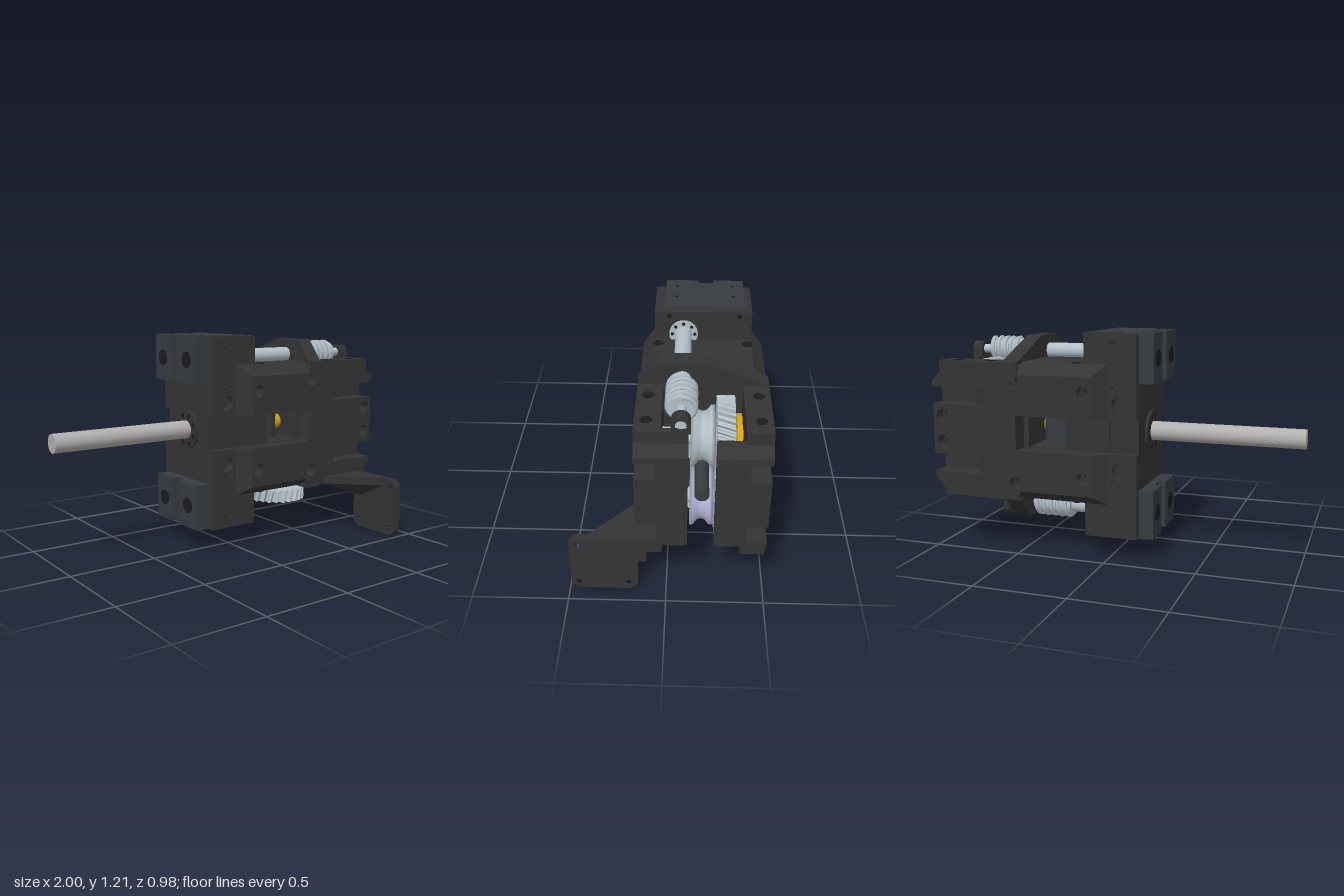
import * as THREE from 'three';
import { ConvexGeometry } from 'three/addons/geometries/ConvexGeometry.js';

const MID = -0.1725; // z of the drive axis and mirror plane
const mat = (color) => new THREE.MeshStandardMaterial({ color });
const V = (x, y, z) => new THREE.Vector3(x, y, z);

export function createModel() {
  const root = new THREE.Group();
  const dark = mat(0x343434), black = mat(0x1c1c1c), slate = mat(0x373c41);
  const steel = mat(0xb4c0c8), rodMat = mat(0xb2b0ae), lilac = mat(0xb4b4d6), gold = mat(0xd9a010);

  const add = (name, geo, m, x = 0, y = 0, z = 0) => {
    const mesh = new THREE.Mesh(geo, m);
    mesh.name = name;
    mesh.position.set(x, y, z);
    root.add(mesh);
    return mesh;
  };
  const box = (name, x0, x1, y0, y1, z0, z1, m = dark) =>
    add(name, new THREE.BoxGeometry(x1 - x0, y1 - y0, z1 - z0), m, (x0 + x1) / 2, (y0 + y1) / 2, (z0 + z1) / 2);
  const shape = (pts, holes = []) => {
    const s = new THREE.Shape(pts.map(([x, y]) => new THREE.Vector2(x, y)));
    for (const [x, y, r] of holes) s.holes.push(new THREE.Path().absarc(x, y, r, 0, Math.PI * 2, true));
    return s;
  };
  const extrude = (s, depth, steps = 1) =>
    new THREE.ExtrudeGeometry(s, { depth, steps, bevelEnabled: false, curveSegments: 10 });
  // slab in the xy plane between two z values
  const slabZ = (name, s, z0, z1) => add(name, extrude(s, z1 - z0), dark, 0, 0, z0);
  // the same slab on the front and on the back
  const slabPair = (name, s, z0, z1) => {
    slabZ(name, s, z0, z1);
    slabZ(name, s, 2 * MID - z1, 2 * MID - z0);
  };
  // slab from a [z, y] profile between two x values
  const slabX = (name, pts, x0, x1, holes = []) => {
    const s = shape(pts.map(([z, y]) => [-z, y]), holes.map(([z, y, r]) => [-z, y, r]));
    return add(name, extrude(s, x1 - x0).rotateY(Math.PI / 2), dark, x0);
  };
  const cyl = (name, axis, r, len, m, x, y, z, sides = 28) => {
    const g = new THREE.CylinderGeometry(r, r, len, sides);
    if (axis === 'x') g.rotateZ(Math.PI / 2);
    if (axis === 'z') g.rotateX(Math.PI / 2);
    return add(name, g, m, x, y, z);
  };

  // ---- housing: layered slabs with bolt holes, window, channel and pockets
  const bolts = [[0.115, 0.9], [0.115, 0.445], [0.51, 0.945], [0.51, 0.395], [0.945, 0.745], [0.945, 0.6]];
  const holes = (r, from = 0) => bolts.slice(from).map(([x, y]) => [x, y, r]);
  const rect = (x0, x1, y0, y1) => [[x0, y0], [x1, y0], [x1, y1], [x0, y1]];
  const cutWindow = (s) => {
    s.holes.push(new THREE.Path(rect(0.25, 0.47, 0.58, 0.76).reverse().map(([x, y]) => new THREE.Vector2(x, y))));
    return s;
  };
  const bottom = [[0, 0.3], [0.48, 0.3], [0.5, 0.3], [0.95, 0.3], [0.95, 0.35], [1, 0.4]];
  const top = [[1, 0.94], [0.95, 0.985], [0.95, 1.05], [0.5, 1.05], [0.48, 1.05], [0, 1.05]];
  const notches = [[1, 0.43], [0.69, 0.43], [0.69, 0.53], [1, 0.53], [1, 0.81], [0.69, 0.81], [0.69, 0.905], [1, 0.905]];
  const channel = [[0, 0.765], [0.5, 0.765], [0.5, 0.575], [0, 0.575]];
  slabZ('housingCore', cutWindow(shape(rect(0, 0.57, 0.3, 1.05), holes(0.022).slice(0, 4))), -0.365, 0.02);
  slabPair('housingWall', cutWindow(shape([...bottom, ...top], holes(0.022))), 0.02, 0.045);
  const notched = [...bottom, ...notches, ...top, ...channel];
  slabPair('housingPocketLayer', shape(notched, holes(0.022)), 0.045, 0.08);
  // cover layer, chamfered along its left, upper and lower edges
  for (const front of [true, false]) {
    const g = extrude(shape(notched, holes(0.035)), 0.065);
    const p = g.attributes.position;
    for (let i = 0; i < p.count; i++) {
      const x = p.getX(i), y = p.getY(i);
      if ((p.getZ(i) > 0.03) !== front) continue;
      if (x < 0.001) p.setX(i, 0.07);
      if (x < 0.49 && y > 1.049) p.setY(i, 0.985);
      if (x < 0.49 && y < 0.301) p.setY(i, 0.35);
    }
    g.computeVertexNormals();
    add('housingCover', g, dark, 0, 0, front ? 0.08 : 2 * MID - 0.145);
  }
  // end plates either side of the slot
  slabZ('endPlate', shape([[0.92, 0.35], [0.95, 0.35], [1, 0.4], [1, 0.94], [0.95, 0.985], [0.95, 1.05], [0.92, 1.05]], holes(0.018, 4)), -0.105, 0.02);
  slabZ('endPlate', shape([[0.92, 0.35], [0.95, 0.35], [1, 0.4], [1, 0.94], [0.95, 0.985], [0.92, 0.985]], holes(0.018, 4)), -0.365, -0.235);
  // sloped ends of the pockets
  for (const [y0, y1] of [[0.43, 0.53], [0.81, 0.905]])
    for (const s of [1, -1]) {
      const pts = [];
      for (const y of [y0, y1])
        for (const [x, d] of [[0.69, 0.3175], [0.69, 0.2175], [0.79, 0.2175]]) pts.push(V(x, y, MID + s * d));
      add('pocketRamp', new ConvexGeometry(pts), dark);
    }
  // hex recesses on the upper and lower faces
  for (const x of [0.18, 0.66, 0.86])
    for (const z of [x < 0.5 ? 0.06 : 0.09, x < 0.5 ? -0.405 : -0.435])
      for (const y of [0.3, 1.05]) cyl('boltRecess', 'y', 0.03, 0.004, black, x, y, z, 6);

  // ---- bulkhead that carries both worm shafts
  slabX('bulkheadTop', [[0.145, 1.04], [0.145, 1.05], [0.045, 1.175], [-0.17, 1.175], [-0.49, 1.05], [-0.49, 1.04]], 0.48, 0.57);
  slabX('bulkheadBottom', [[0.145, 0.31], [0.145, 0.29], [-0.145, 0.29], [-0.145, 0.18], [-0.37, 0.18], [-0.49, 0.3], [-0.49, 0.31]], 0.48, 0.57);
  const lug = [[-0.115, 1.04], [-0.025, 1.04]];
  for (let i = 0; i <= 8; i++) lug.push([-0.07 + 0.045 * Math.cos(i * Math.PI / 8), 1.085 + 0.045 * Math.sin(i * Math.PI / 8)]);
  slabX('shaftLug', lug, 0.89, 0.95, [[-0.07, 1.085, 0.026]]);

  // ---- motor mount
  slabZ('motorMount', shape([[-0.16, 0.12], [0.13, 0.12], [0.13, 0.3], [0, 0.3], [0, 1.05], [0.13, 1.05], [0.13, 1.21], [-0.16, 1.21]]), -0.38, 0.035);
  slabPair('mountCheek', shape([[-0.16, 0.12], [0.13, 0.12], [0.13, 0.3], [0.04, 0.3], [0.04, 0.575], [-0.16, 0.575]],
    [[-0.03, 0.42, 0.012], [-0.03, 0.18, 0.012], [-0.065, 0.49, 0.042]]), 0.035, 0.08);
  slabPair('mountCheek', shape([[-0.16, 0.765], [0.04, 0.765], [0.04, 1.05], [0.13, 1.05], [0.13, 1.21], [-0.16, 1.21]],
    [[-0.03, 1.155, 0.012], [-0.03, 0.92, 0.012], [-0.065, 0.84, 0.042]]), 0.035, 0.08);
  for (const y of [0.155, 1.185]) for (const z of [0.005, -0.36]) cyl('mountScrewHole', 'x', 0.013, 0.003, black, 0.13, y, z, 12);

  // ---- two motors, each with a pair of square rear blocks
  for (const [y0, y1, lid] of [[0.12, 0.38, 0.12], [0.95, 1.21, 1.21]]) {
    const yc = (y0 + y1) / 2;
    box('motorBase', -0.2, -0.16, y0, y1, -0.39, 0.03, slate);
    box('motorLid', -0.2, 0.07, lid - 0.003, lid + 0.003, -0.39, 0.03, slate);
    for (const [z0, z1] of [[-0.39, -0.23], [-0.15, 0.03]]) {
      box('motorBlock', -0.24, -0.2, y0, y1, z0, z1, slate);
      cyl('motorCap', 'x', 0.045, 0.006, black, -0.24, yc, (z0 + z1) / 2);
    }
    for (const x of [-0.16, -0.04]) for (const z of [-0.33, -0.03]) cyl('lidScrew', 'y', 0.009, 0.008, black, x, lid, z, 10);
  }

  // ---- drive rod, guide ring, hub and nut
  cyl('rod', 'x', 0.052, 1.3, rodMat, -0.35, 0.67, MID, 32);
  cyl('guideRing', 'x', 0.11, 0.02, dark, -0.165, 0.67, MID);
  for (let i = 0; i < 8; i++) {
    const a = (i + 0.5) * Math.PI / 4;
    cyl('guideRingScrew', 'x', 0.014, 0.008, black, -0.175, 0.67 + 0.085 * Math.cos(a), MID + 0.085 * Math.sin(a), 10);
  }
  cyl('hub', 'y', 0.1, 0.18, slate, 0.36, 0.67, MID);
  cyl('hubBushing', 'x', 0.045, 0.04, gold, 0.455, 0.67, MID + 0.03);
  cyl('hexNut', 'x', 0.08, 0.05, lilac, 0.6, 0.67, MID, 6);
  cyl('nozzle', 'x', 0.035, 0.4, slate, 0.74, 0.67, MID);

  // ---- gears and grooved rollers
  const gear = (r, width, teeth, twist) => {
    const pts = [];
    for (let i = 0; i < teeth; i++)
      for (const [f, d] of [[0, 0.022], [0.3, 0.022], [0.45, 0], [0.75, 0]]) {
        const a = (i + f) / teeth * Math.PI * 2;
        pts.push([(r - d) * Math.cos(a), (r - d) * Math.sin(a)]);
      }
    const g = extrude(shape(pts, [[0, 0, r * 0.2]]), width, 3);
    const p = g.attributes.position;
    for (let i = 0; i < p.count; i++) {
      const v = V(p.getX(i), p.getY(i), 0).applyAxisAngle(V(0, 0, 1), twist * p.getZ(i) / width);
      p.setXYZ(i, v.x, v.y, p.getZ(i) - width / 2);
    }
    g.computeVertexNormals();
    return g;
  };
  const rollerProfile = [[0.001, -0.058], [0.15, -0.058], [0.15, -0.04], [0.125, -0.02], [0.118, 0], [0.125, 0.02], [0.15, 0.04], [0.15, 0.058], [0.001, 0.058]]
    .map(([x, y]) => new THREE.Vector2(x, y));
  for (const [y, s] of [[0.86, 1], [0.48, -1]]) {
    add('helicalGear', gear(0.195, 0.085, 36, 0.14 * s), steel, 0.72, y, -0.28);
    add('gripRoller', new THREE.LatheGeometry(rollerProfile, 36).rotateX(Math.PI / 2), y > 0.6 ? steel : lilac, 0.72, y, MID);
    cyl('rollerAxle', 'z', 0.04, 0.39, steel, 0.72, y, MID);
    cyl('bearing', 'z', 0.11, 0.025, gold, 0.72, y, -0.345);
  }
  add('wormWheel', gear(0.16, 0.07, 30, 0.1), steel, 0.72, 0.86, -0.07);

  // ---- worm shafts
  const worm = (x0, x1, y, z, r, turns) => {
    const pts = [];
    const n = turns * 14;
    for (let i = 0; i <= n; i++) {
      const a = i / n * turns * Math.PI * 2;
      pts.push(V(x0 + (x1 - x0) * i / n, r * Math.cos(a), r * Math.sin(a)));
    }
    add('wormThread', new THREE.TubeGeometry(new THREE.CatmullRomCurve3(pts), n * 2, 0.015, 5), steel, 0, y, z);
    cyl('wormCore', 'x', r, x1 - x0, steel, (x0 + x1) / 2, y, z);
  };
  const flange = (y, z) => {
    cyl('shaftFlange', 'x', 0.075, 0.012, steel, 0.135, y, z);
    for (let i = 0; i < 8; i++)
      cyl('flangeHole', 'x', 0.009, 0.004, black, 0.142, y + 0.059 * Math.cos(i * Math.PI / 4), z + 0.059 * Math.sin(i * Math.PI / 4), 8);
  };
  cyl('upperShaft', 'x', 0.043, 0.47, steel, 0.365, 1.085, -0.07);
  cyl('upperShaftEnd', 'x', 0.025, 0.4, steel, 0.74, 1.085, -0.07);
  worm(0.63, 0.82, 1.085, -0.07, 0.064, 5);
  flange(1.085, -0.07);
  cyl('lowerShaft', 'x', 0.045, 0.48, steel, 0.365, 0.25, -0.285);
  cyl('lowerShaftEnd', 'x', 0.053, 0.04, steel, 0.59, 0.25, -0.285);
  worm(0.25, 0.46, 0.25, -0.285, 0.066, 5);
  flange(0.25, -0.285);

  // ---- horizontal gear under the housing
  add('lowerGear', gear(0.18, 0.07, 26, 0.1).rotateX(Math.PI / 2), steel, 0.38, 0.255, -0.04);
  cyl('lowerGearPin', 'y', 0.04, 0.1, steel, 0.38, 0.265, -0.04, 6);

  // ---- side plate with gusset
  const c = 0.035;
  slabX('sidePlate', [[0.145 + c, 0], [0.49 - c, 0], [0.49, c], [0.49, 0.345 - c], [0.49 - c, 0.345], [0.145, 0.345], [0.145, c]],
    0.88, 0.92, [[0.45, 0.305, 0.014], [0.45, 0.048, 0.014], [0.193, 0.048, 0.014]]);
  add('plateGusset', new ConvexGeometry([
    V(0.62, 0.345, 0.145), V(0.885, 0.345, 0.145), V(0.885, 0.345, 0.4), V(0.62, 0.3, 0.145),
    V(0.78, 0.3, 0.145), V(0.885, 0.2, 0.145), V(0.885, 0.3, 0.4), V(0.885, 0.2, 0.2)]), dark);
  box('plateRoot', 0.88, 0.92, 0.2, 0.345, 0.1, 0.15);

  return root;
}
